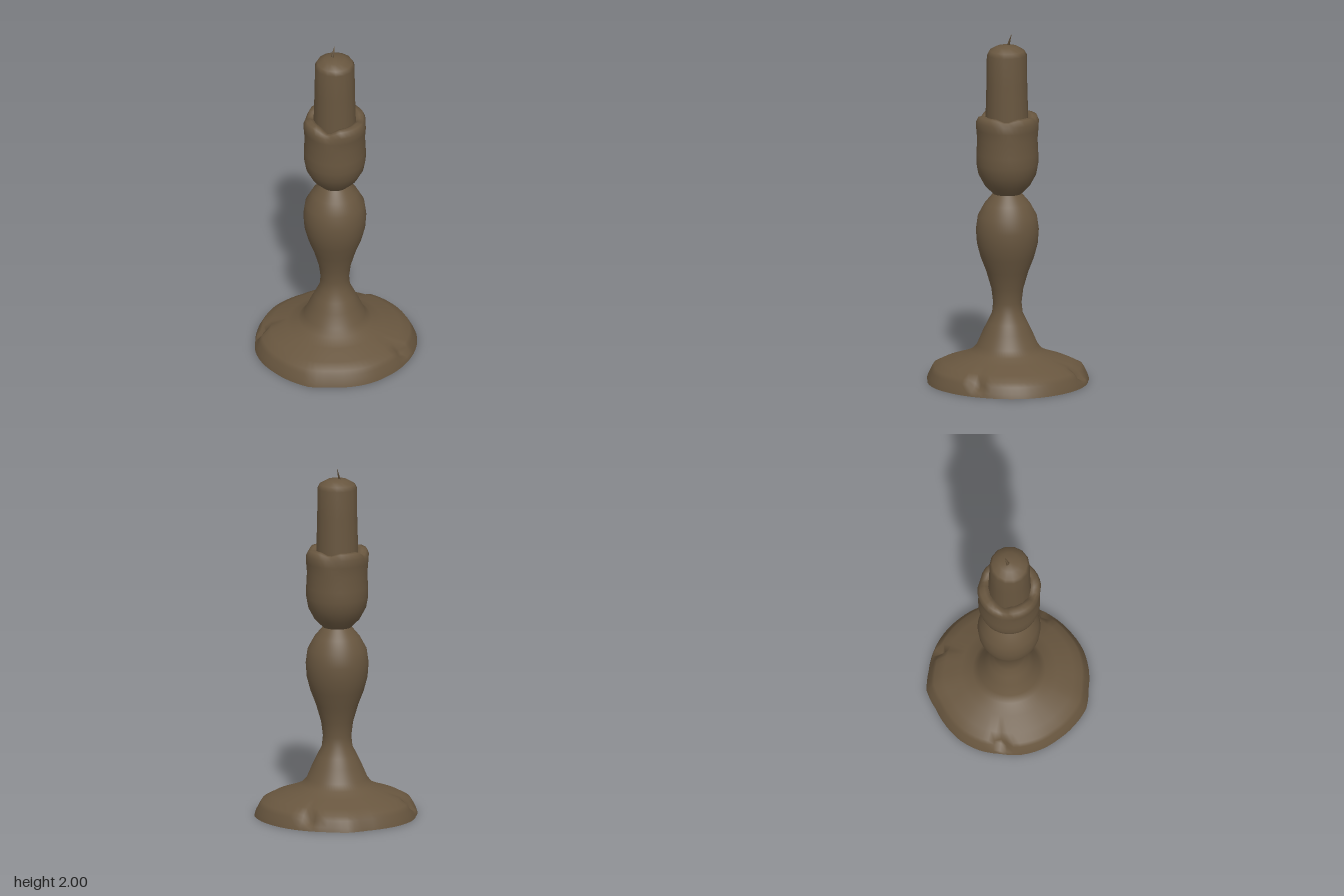
import * as THREE from 'three';
import { mergeVertices } from 'three/addons/utils/BufferGeometryUtils.js';

const DEG = 180 / Math.PI;

// Lathe with an optional rule moving each vertex; smooth normals, no seam
function turned(profile, segments, move) {
  let geo = new THREE.LatheGeometry(profile.map(([r, y]) => new THREE.Vector2(r, y)), segments);
  geo.deleteAttribute('normal');
  geo.deleteAttribute('uv');
  geo = mergeVertices(geo, 1e-5);
  if (move) {
    const p = geo.attributes.position;
    for (let i = 0; i < p.count; i++) {
      const x = p.getX(i), y = p.getY(i), z = p.getZ(i);
      const angle = (Math.atan2(z, x) * DEG + 360) % 360;
      const [r2, y2] = move(Math.hypot(x, z), y, angle);
      p.setXYZ(i, r2 * Math.cos(angle / DEG), y2, r2 * Math.sin(angle / DEG));
    }
  }
  geo.computeVertexNormals();
  return geo;
}

// 1 at the chip's centre, fading to 0 at its half width (degrees)
function chip(angle, centre, half) {
  const d = Math.abs(((angle - centre + 540) % 360) - 180);
  return Math.max(0, 1 - d / half);
}

// Worn foot outline: radius every 15 degrees from +x towards +z
const RIM = [.448, .453, .452, .45, .467, .458, .452, .455, .455, .447, .455, .456,
  .45, .448, .468, .455, .457, .459, .46, .464, .467, .461, .453, .449];

function wearFoot(r, y, angle) {
  const i = Math.floor(angle / 15) % 24, t = angle / 15 - Math.floor(angle / 15);
  const rim = (RIM[i] * (1 - t) + RIM[(i + 1) % 24] * t) / 0.45;
  const k = THREE.MathUtils.smoothstep(r, 0.2, 0.42);
  let r2 = r * (1 + (rim - 1) * k), y2 = y;
  if (r > 0.38 && y > 0.03) {
    for (const a of [135, 240, 337]) {
      const c = chip(angle, a, 7);
      r2 -= 0.03 * c;
      y2 -= 0.035 * c;
    }
  }
  return [r2, y2];
}

// Broken lip of the cup
function wearCup(r, y, angle) {
  if (y < 1.48) return [r, y];
  let y2 = y, r2 = r;
  for (const [a, half, depth] of [[58, 26, .035], [145, 24, .035], [235, 22, .02], [315, 22, .02]]) {
    const c = chip(angle, a, half);
    y2 -= depth * c * (y > 1.52 ? 1 : 0.4);
    if (r > 0.15) r2 -= 0.012 * c;
  }
  return [r2, y2];
}

export function createModel() {
  const group = new THREE.Group();
  const bronze = new THREE.MeshStandardMaterial({ color: 0x68563f });
  bronze.name = 'agedBrown';
  const add = (name, geo) => {
    const mesh = new THREE.Mesh(geo, bronze);
    mesh.name = name;
    group.add(mesh);
    return mesh;
  };

  // Flat underside
  add('underside', turned([[0, 0.005], [0.45, 0.005]], 72, wearFoot));

  // Foot flowing up into the baluster stem
  add('footAndStem', turned([
    [.45, .005], [.442, .03], [.425, .065], [.41, .09], [.36, .117], [.27, .148], [.205, .178],
    [.172, .215], [.14, .29], [.113, .345], [.086, .4], [.08, .46], [.09, .54], [.119, .64],
    [.15, .72], [.171, .8], [.177, .88], [.166, .96], [.128, 1.03], [.078, 1.09],
  ], 72, wearFoot));

  // Candle cup with a chipped lip
  add('cup', turned([
    [.078, 1.085], [.128, 1.135], [.163, 1.2], [.174, 1.26], [.174, 1.32], [.17, 1.4],
    [.175, 1.46], [.181, 1.505], [.167, 1.537], [.14, 1.54], [.115, 1.53], [.1, 1.49],
  ], 36, wearCup));

  // Candle with a softly melted top
  const candle = add('candle', turned([
    [.121, 1.46], [.12, 1.54], [.115, 1.72], [.113, 1.885], [.1, 1.91], [.06, 1.933], [0, 1.942],
  ], 14));
  candle.position.set(0.002, 0, 0.002);

  // Thin leaning wick
  const wick = new THREE.CylinderGeometry(0.002, 0.015, 0.07, 3);
  wick.scale(1, 1, 0.4);
  const w = wick.attributes.position;
  for (let i = 0; i < w.count; i++) {
    const t = w.getY(i) / 0.07 + 0.5;
    w.setXYZ(i, w.getX(i) - 0.012 - 0.006 * t, 1.93 + 0.07 * t, w.getZ(i) + 0.012 - 0.025 * t);
  }
  wick.computeVertexNormals();
  add('wick', wick);

  return group;
}
